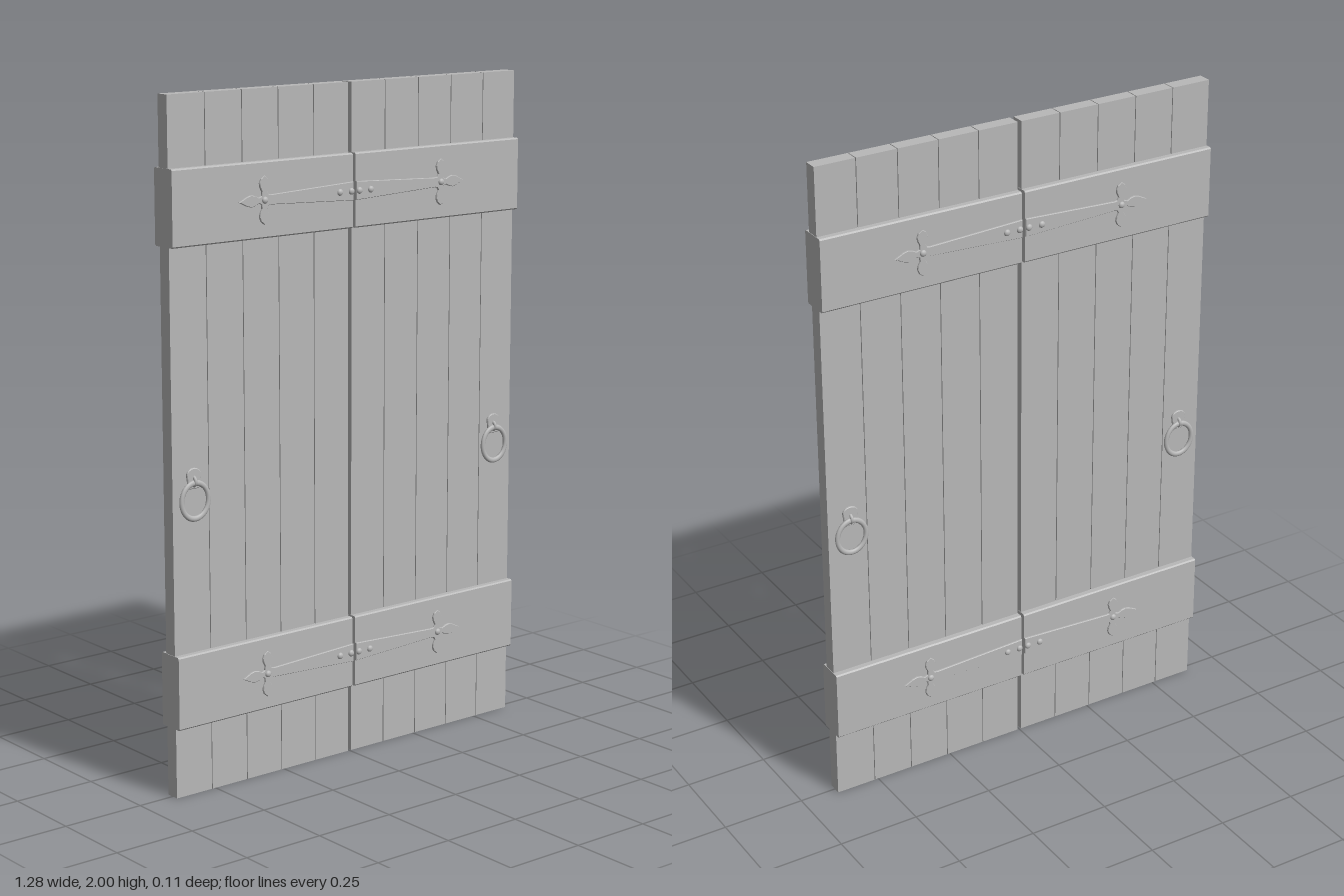
import * as THREE from 'three';

export function createModel() {
  const model = new THREE.Group();
  const grey = new THREE.MeshStandardMaterial({ color: 0xb8b8b8 });
  grey.name = 'plain grey';

  const add = (parent, name, geometry, x = 0, y = 0, z = 0) => {
    const mesh = new THREE.Mesh(geometry, grey);
    mesh.name = name;
    mesh.position.set(x, y, z);
    parent.add(mesh);
    return mesh;
  };

  const INNER = 0.005, OUTER = 0.638, PLANKS = 5;
  const PLANK_Z = 0.021, BATTEN_Z = 0.041;
  const pitch = (OUTER - INNER) / PLANKS;

  // Battens: chamfered section pushed along x
  const bh = 0.108, c = 0.004;
  const section = new THREE.Shape([
    [-BATTEN_Z, -bh + c], [-BATTEN_Z + c, -bh], [BATTEN_Z - c, -bh], [BATTEN_Z, -bh + c],
    [BATTEN_Z, bh - c], [BATTEN_Z - c, bh], [-BATTEN_Z + c, bh], [-BATTEN_Z, bh - c],
  ].map(([a, b]) => new THREE.Vector2(a, b)));
  const battenGeo = new THREE.ExtrudeGeometry(section, { depth: OUTER - INNER, bevelEnabled: false });
  battenGeo.translate(0, 0, -(OUTER - INNER) / 2).rotateY(Math.PI / 2);

  // Strap: tapering bar ending in a three-leaf cross, symmetric about its axis
  function strapGeometry(side) {
    const upper = [
      [0.005, 0.027], [0.303, 0.014], [0.312, 0.016], [0.317, 0.024], [0.311, 0.036],
      [0.309, 0.048], [0.314, 0.06], [0.326, 0.069], [0.338, 0.06], [0.343, 0.048],
      [0.341, 0.036], [0.335, 0.024], [0.336, 0.012], [0.346, 0.008], [0.358, 0.014],
      [0.372, 0.017], [0.388, 0.013], [0.402, 0.006],
    ];
    const lower = upper.map(([x, y]) => [x, -y]).reverse();
    const shape = new THREE.Shape([...upper, [0.414, 0], ...lower]
      .map(([x, y]) => new THREE.Vector2(side * x, y)));
    return new THREE.ExtrudeGeometry(shape, {
      depth: 0.004, bevelEnabled: true, bevelThickness: 0.002, bevelSize: 0.0015,
      bevelOffset: -0.0015, bevelSegments: 1,
    });
  }

  const rivetGeo = new THREE.SphereGeometry(0.01, 16, 6, 0, Math.PI * 2, 0, Math.PI / 2);
  rivetGeo.rotateX(Math.PI / 2).scale(1, 1, 0.7);

  // Pull ring and its mounting plate
  const ringGeo = new THREE.TorusGeometry(0.046, 0.0075, 10, 40);
  ringGeo.scale(1, 1.12, 0.8);
  const plate = new THREE.Shape();
  plate.moveTo(-0.018, -0.03);
  plate.lineTo(0.018, -0.03);
  plate.lineTo(0.024, 0.01);
  plate.bezierCurveTo(0.024, 0.036, -0.024, 0.036, -0.024, 0.01);
  const plateGeo = new THREE.ExtrudeGeometry(plate, {
    depth: 0.004, bevelEnabled: true, bevelThickness: 0.002, bevelSize: 0.002,
    bevelOffset: -0.002, bevelSegments: 1,
  });
  const stapleGeo = new THREE.TorusGeometry(0.013, 0.005, 8, 16, Math.PI);
  stapleGeo.rotateZ(-Math.PI / 2).rotateY(-Math.PI / 2);

  for (const side of [-1, 1]) {
    const door = new THREE.Group();
    door.name = side > 0 ? 'leftDoor' : 'rightDoor';
    model.add(door);

    // Vertical planks with hairline joints
    const plankGeo = new THREE.BoxGeometry(pitch - 0.0025, 2, PLANK_Z * 2);
    for (let i = 0; i < PLANKS; i++) {
      add(door, 'plank', plankGeo, side * (INNER + pitch * (i + 0.5)), 1, 0);
    }
    for (const y of [0.315, 1.692]) {
      add(door, 'batten', battenGeo, side * (INNER + OUTER) / 2, y, 0);
    }

    // Ironwork on both faces of the door
    for (const face of [1, -1]) {
      const iron = new THREE.Group();
      iron.name = face > 0 ? 'frontIronwork' : 'backIronwork';
      if (face < 0) iron.rotation.y = Math.PI;
      door.add(iron);
      const s = side * face;
      const strapGeo = strapGeometry(s);
      for (const y of [0.315, 1.692]) {
        add(iron, 'hingeStrap', strapGeo, 0, y, BATTEN_Z);
        for (const x of [0.015, 0.057, 0.326]) {
          add(iron, 'rivet', rivetGeo, s * x, y, BATTEN_Z + 0.006);
        }
      }
      add(iron, 'handlePlate', plateGeo, s * 0.566, 0.93, PLANK_Z);
      add(iron, 'handleStaple', stapleGeo, s * 0.566, 0.921, PLANK_Z);
      add(iron, 'pullRing', ringGeo, s * 0.566, 0.866, PLANK_Z + 0.009);
    }
  }
  return model;
}
